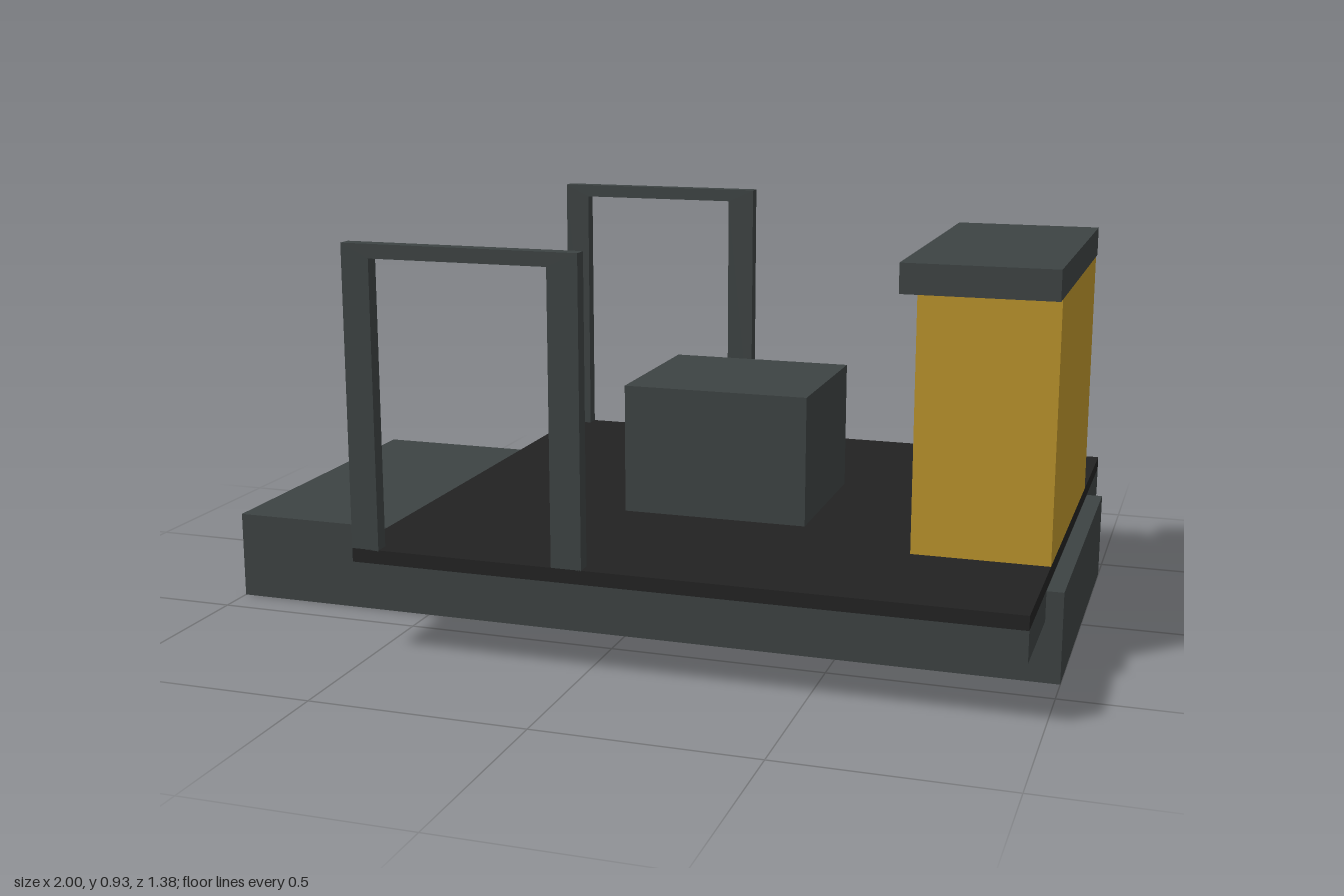
import * as THREE from 'three';

const grey = new THREE.MeshStandardMaterial({ name: 'slate grey', color: 0x3d4343 });
const black = new THREE.MeshStandardMaterial({ name: 'deck black', color: 0x222222 });
const ochre = new THREE.MeshStandardMaterial({ name: 'ochre', color: 0xbb932b });

// Box given by its limits on each axis
function block(name, material, [x0, x1], [y0, y1], [z0, z1]) {
  const mesh = new THREE.Mesh(new THREE.BoxGeometry(x1 - x0, y1 - y0, z1 - z0), material);
  mesh.position.set((x0 + x1) / 2, (y0 + y1) / 2, (z0 + z1) / 2);
  mesh.name = name;
  return mesh;
}

// Upright hoop: two posts and a thin top bar, cut as one piece
function hoop(name, z) {
  const shape = new THREE.Shape();
  [[-0.55, 0.24], [-0.55, 0.932], [0, 0.932], [0, 0.24], [-0.07, 0.24], [-0.07, 0.9], [-0.485, 0.9], [-0.485, 0.24]]
    .forEach(([x, y], i) => (i ? shape.lineTo(x, y) : shape.moveTo(x, y)));
  const mesh = new THREE.Mesh(new THREE.ExtrudeGeometry(shape, { depth: 0.034, bevelEnabled: false }), grey);
  mesh.position.z = z;
  mesh.name = name;
  return mesh;
}

export function createModel() {
  const model = new THREE.Group();
  model.name = 'platform';
  model.add(
    // Base and deck
    block('base', grey, [-1, 1], [0, 0.208], [-0.413, 0.413]),
    block('deckFrame', grey, [-0.55, 0.962], [0.14, 0.21], [-0.688, 0.688]),
    block('deckSurface', black, [-0.55, 0.962], [0.21, 0.242], [-0.688, 0.688]),
    // Seat block and counter
    block('seat', grey, [-0.07, 0.375], [0.242, 0.55], [-0.206, 0.206]),
    block('counter', ochre, [0.652, 0.962], [0.242, 0.83], [-0.345, 0.345]),
    block('counterTop', grey, [0.618, 0.962], [0.83, 0.898], [-0.379, 0.379]),
    // Side rails
    hoop('leftRail', 0.654),
    hoop('rightRail', -0.688),
  );
  return model;
}
